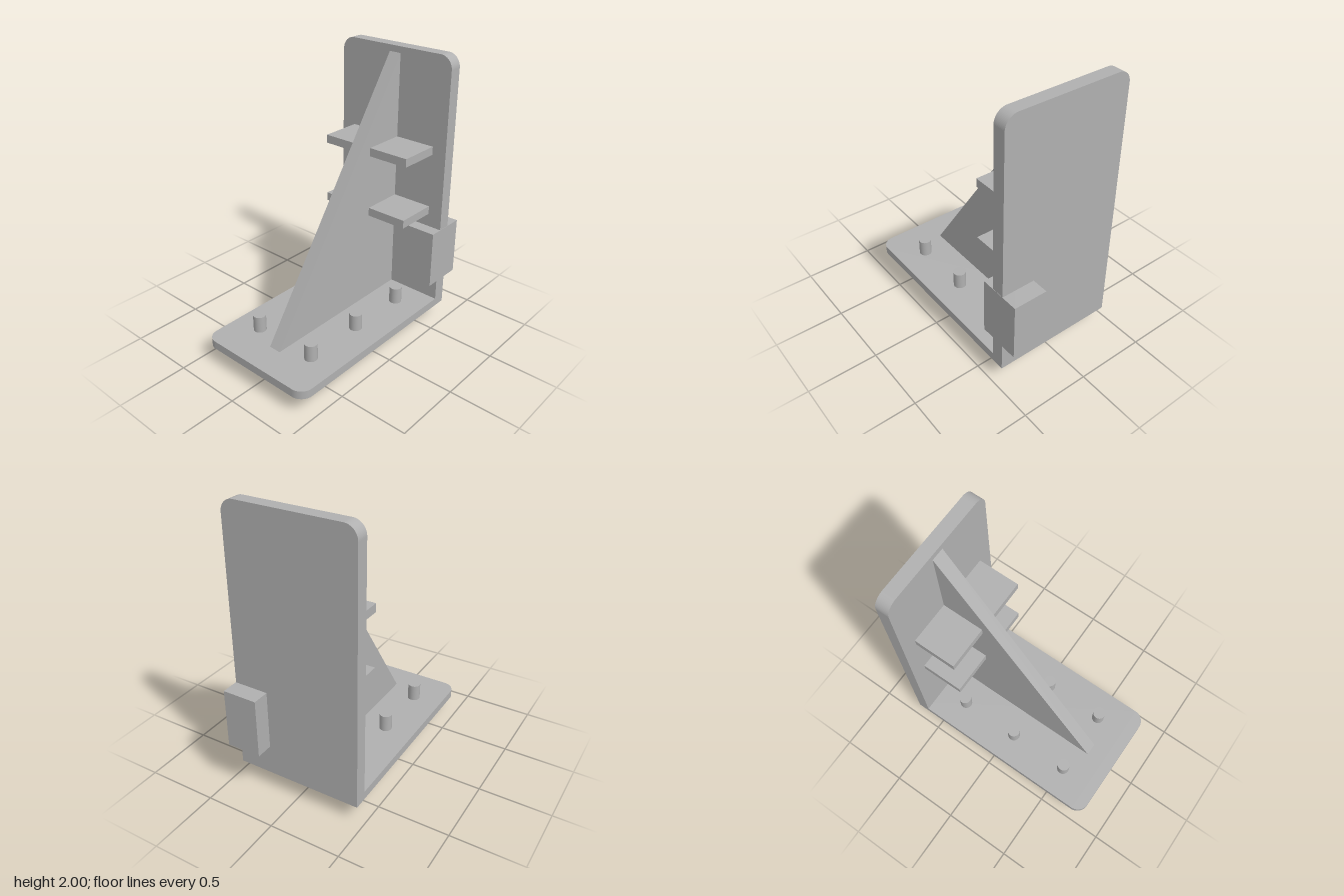
import * as THREE from 'three';

export function createModel() {
  const model = new THREE.Group();
  model.name = 'gussetedBracket';
  const grey = new THREE.MeshStandardMaterial({ color: 0xb0b0b0 });
  grey.name = 'plain grey';

  const add = (name, geometry) => {
    const mesh = new THREE.Mesh(geometry, grey);
    mesh.name = name;
    model.add(mesh);
    return mesh;
  };

  // box given by its minimum and maximum corners
  const box = (name, [x0, y0, z0], [x1, y1, z1]) =>
    add(name, new THREE.BoxGeometry(x1 - x0, y1 - y0, z1 - z0))
      .position.set((x0 + x1) / 2, (y0 + y1) / 2, (z0 + z1) / 2);

  // slab with two square corners at the start and two rounded corners at the end
  const slab = (halfWidth, start, end, radius, depth) => {
    const s = new THREE.Shape();
    s.moveTo(-halfWidth, start);
    s.lineTo(halfWidth, start);
    s.lineTo(halfWidth, end - radius);
    s.absarc(halfWidth - radius, end - radius, radius, 0, Math.PI / 2, false);
    s.lineTo(-halfWidth + radius, end);
    s.absarc(-halfWidth + radius, end - radius, radius, Math.PI / 2, Math.PI, false);
    s.closePath();
    return new THREE.ExtrudeGeometry(s, { depth, bevelEnabled: false, curveSegments: 10 });
  };

  // upright plate, rounded at the top
  add('backPlate', slab(0.453, 0.185, 2, 0.09, 0.093)).position.z = -0.698;

  // base plate, rounded at the front
  add('basePlate', slab(0.453, -0.698, 0.818, 0.09, 0.06).rotateX(Math.PI / 2)).position.y = 0.185;

  // triangular rib between base and upright plate
  const triangle = new THREE.Shape([
    new THREE.Vector2(-0.61, 0.185),
    new THREE.Vector2(0.605, 0.185),
    new THREE.Vector2(0.605, 1.955),
  ]);
  const rib = new THREE.ExtrudeGeometry(triangle, { depth: 0.09, bevelEnabled: false });
  rib.translate(0, 0, -0.045).rotateY(Math.PI / 2);
  add('centreRib', rib);

  // shelves on both sides of the rib
  for (const y of [0.855, 1.305]) {
    box('leftShelf', [0.045, y, -0.605], [0.347, y + 0.06, -0.303]);
    box('rightShelf', [-0.347, y, -0.605], [-0.045, y + 0.06, -0.303]);
  }

  // block clasping the left edge of the upright plate
  box('sideBlock', [0.21, 0.34, -0.818], [0.455, 0.76, -0.515]);

  // pins through the base
  for (const x of [-0.242, 0.242])
    for (const z of [0.515, 0.062, -0.393])
      add('pin', new THREE.CylinderGeometry(0.045, 0.045, 0.306, 32)).position.set(x, 0.153, z);

  return model;
}
